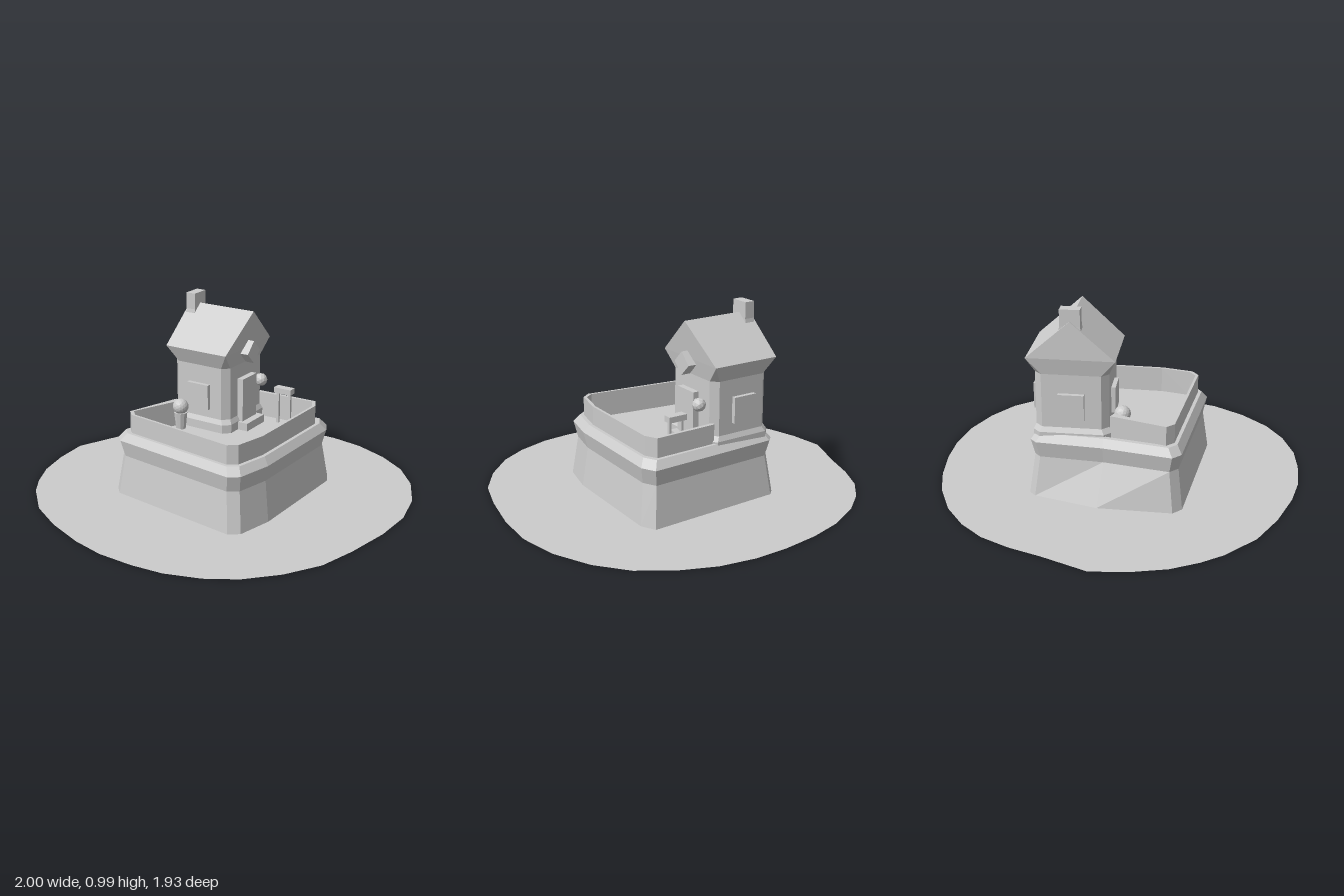
import * as THREE from 'three';

const grey = new THREE.MeshStandardMaterial({ color: 0xcccccc, flatShading: true, side: THREE.DoubleSide });

function add(parent, name, geometry, x = 0, y = 0, z = 0) {
  const mesh = new THREE.Mesh(geometry, grey);
  mesh.name = name;
  mesh.position.set(x, y, z);
  parent.add(mesh);
  return mesh;
}

// Skin of quads between rings of [x, y, z], bottom to top, with an optional lid
function loft(rings, lid = false) {
  const pos = [];
  const n = rings[0].length;
  for (let i = 0; i < rings.length - 1; i++) {
    for (let j = 0; j < n; j++) {
      const k = (j + 1) % n;
      const [a, b, c, d] = [rings[i][j], rings[i][k], rings[i + 1][k], rings[i + 1][j]];
      pos.push(...a, ...b, ...c, ...a, ...c, ...d);
    }
  }
  if (lid) {
    const top = rings[rings.length - 1];
    const centre = [0, top[0][1], 0];
    top.forEach((p, j) => pos.push(...centre, ...p, ...top[(j + 1) % n]));
  }
  const g = new THREE.BufferGeometry();
  g.setAttribute('position', new THREE.Float32BufferAttribute(pos, 3));
  g.computeVertexNormals();
  return g;
}

// Plan of the terrace (x, z): left, front, right and back corners, then a bend
const plan = [
  [-0.545, 0.02], [-0.53, 0.08], [0.035, 0.52], [0.1, 0.515], [0.23, 0.38],
  [0.54, -0.11], [0.545, -0.19], [-0.07, -0.53], [-0.115, -0.52], [-0.31, -0.245],
];
const foot = plan.map(([x, z]) => [x * 1.025, z * 1.025]);
foot[9] = [-0.36, -0.3];

// Outline of the ground (x, z)
const shore = [
  [-0.07, -0.97], [0.13, -0.95], [0.3, -0.9], [0.48, -0.82], [0.63, -0.73], [0.77, -0.61],
  [0.89, -0.45], [0.97, -0.28], [1, -0.09], [0.98, 0.12], [0.91, 0.32], [0.79, 0.5],
  [0.63, 0.68], [0.48, 0.82], [0.3, 0.91], [0.11, 0.96], [-0.06, 0.96], [-0.24, 0.92],
  [-0.39, 0.85], [-0.55, 0.75], [-0.68, 0.63], [-0.82, 0.46], [-0.93, 0.28], [-0.99, 0.07],
  [-1, -0.06], [-0.99, -0.21], [-0.94, -0.38], [-0.86, -0.55], [-0.66, -0.7], [-0.53, -0.81],
  [-0.39, -0.9], [-0.24, -0.95],
];

function chamferedRing(a, b, c, y) {
  return [
    [-a + c, y, b], [a - c, y, b], [a, y, b - c], [a, y, -b + c],
    [a - c, y, -b], [-a + c, y, -b], [-a, y, -b + c], [-a, y, b - c],
  ];
}

function makeTerrace(model) {
  // Ground sheet, open beneath the hollow terrace
  const v2 = (list) => list.map(([x, z]) => new THREE.Vector2(x, -z));
  const shape = new THREE.Shape(v2(shore));
  shape.holes.push(new THREE.Path(v2(foot)));
  add(model, 'ground', new THREE.ShapeGeometry(shape).rotateX(-Math.PI / 2));

  // Flared base, lip and sunken yard floor
  const ring = (k, y) => plan.map(([x, z]) => [x * k, y, z * k]);
  add(model, 'terraceBase', loft([
    foot.map(([x, z]) => [x, 0, z]),
    ring(0.955, 0.21), ring(1, 0.295), ring(0.93, 0.335), ring(0.87, 0.335), ring(0.87, 0.3),
  ], true));

  // Low wall around the yard, ending at the house
  const side = (k, start, end) => [start, ...plan.slice(0, 7).map(([x, z]) => [x * k, z * k]), end];
  const outline = [
    ...side(0.885, [-0.26, -0.18], [0.19, -0.335]),
    ...side(0.85, [-0.24, -0.15], [0.17, -0.32]).reverse(),
  ].map(([x, z]) => new THREE.Vector2(x, z));
  const wall = new THREE.ExtrudeGeometry(new THREE.Shape(outline), { depth: 0.135, bevelEnabled: false });
  add(model, 'yardWall', wall.rotateX(Math.PI / 2), 0, 0.435, 0);
}

function makeHouse() {
  const house = new THREE.Group();
  house.name = 'house';
  house.position.set(-0.035, 0, -0.265);
  house.rotation.y = -0.54;

  // Walls with cut corners, flaring out to the eaves; the roof overhangs at the door end
  const eaves = chamferedRing(0.184, 0.22, 0, 0.735);
  const ridge = eaves.map(([x]) => [x > 0 ? 0.215 : -0.18, 0.927, 0]);
  add(house, 'walls', loft([
    chamferedRing(0.182, 0.195, 0.035, 0.29),
    chamferedRing(0.182, 0.195, 0.035, 0.345),
    chamferedRing(0.168, 0.183, 0.035, 0.37),
    chamferedRing(0.168, 0.183, 0.035, 0.65),
    eaves,
  ]));
  add(house, 'roof', loft([eaves, ridge]));

  // Chimney, a little wider at its foot
  add(house, 'chimney', loft([
    chamferedRing(0.03, 0.065, 0, 0.82),
    chamferedRing(0.027, 0.05, 0, 0.9),
    chamferedRing(0.027, 0.05, 0, 0.985),
  ], true), -0.145, 0, 0);

  // Square windows on three walls
  add(house, 'frontWindow', new THREE.BoxGeometry(0.13, 0.135, 0.04), 0, 0.485, 0.185);
  add(house, 'backWindow', new THREE.BoxGeometry(0.13, 0.135, 0.04), -0.01, 0.493, -0.185);
  add(house, 'sideWindow', new THREE.BoxGeometry(0.04, 0.135, 0.13), -0.17, 0.485, 0);

  // Door end: door, step, diamond window and round lamp
  add(house, 'door', new THREE.BoxGeometry(0.045, 0.24, 0.135), 0.178, 0.455, 0.01);
  add(house, 'doorStep', new THREE.BoxGeometry(0.07, 0.045, 0.17), 0.205, 0.32, 0.01);
  add(house, 'diamondWindow', new THREE.BoxGeometry(0.05, 0.085, 0.085), 0.2, 0.712, 0.01).rotation.x = Math.PI / 4;
  add(house, 'lamp', new THREE.IcosahedronGeometry(0.035, 1), 0.2, 0.525, -0.105);
  add(house, 'lampArm', new THREE.BoxGeometry(0.05, 0.02, 0.02), 0.175, 0.525, -0.105);
  return house;
}

function makeYardItems(model) {
  // Potted bush
  add(model, 'pot', new THREE.CylinderGeometry(0.036, 0.026, 0.09, 10), -0.23, 0.345, -0.1);
  add(model, 'bush', new THREE.IcosahedronGeometry(0.042, 2), -0.23, 0.422, -0.1);

  // Small table on two posts
  const table = new THREE.Group();
  table.name = 'smallTable';
  table.position.set(0.315, 0, -0.185);
  table.rotation.y = -0.54;
  add(table, 'tableTop', new THREE.BoxGeometry(0.1, 0.03, 0.045), 0, 0.488, 0);
  for (const s of [-1, 1]) {
    add(table, 'tablePost', new THREE.BoxGeometry(0.014, 0.18, 0.014), s * 0.035, 0.39, 0);
  }
  model.add(table);
}

export function createModel() {
  const model = new THREE.Group();
  model.name = 'hilltopHouse';
  makeTerrace(model);
  model.add(makeHouse());
  makeYardItems(model);
  return model;
}
